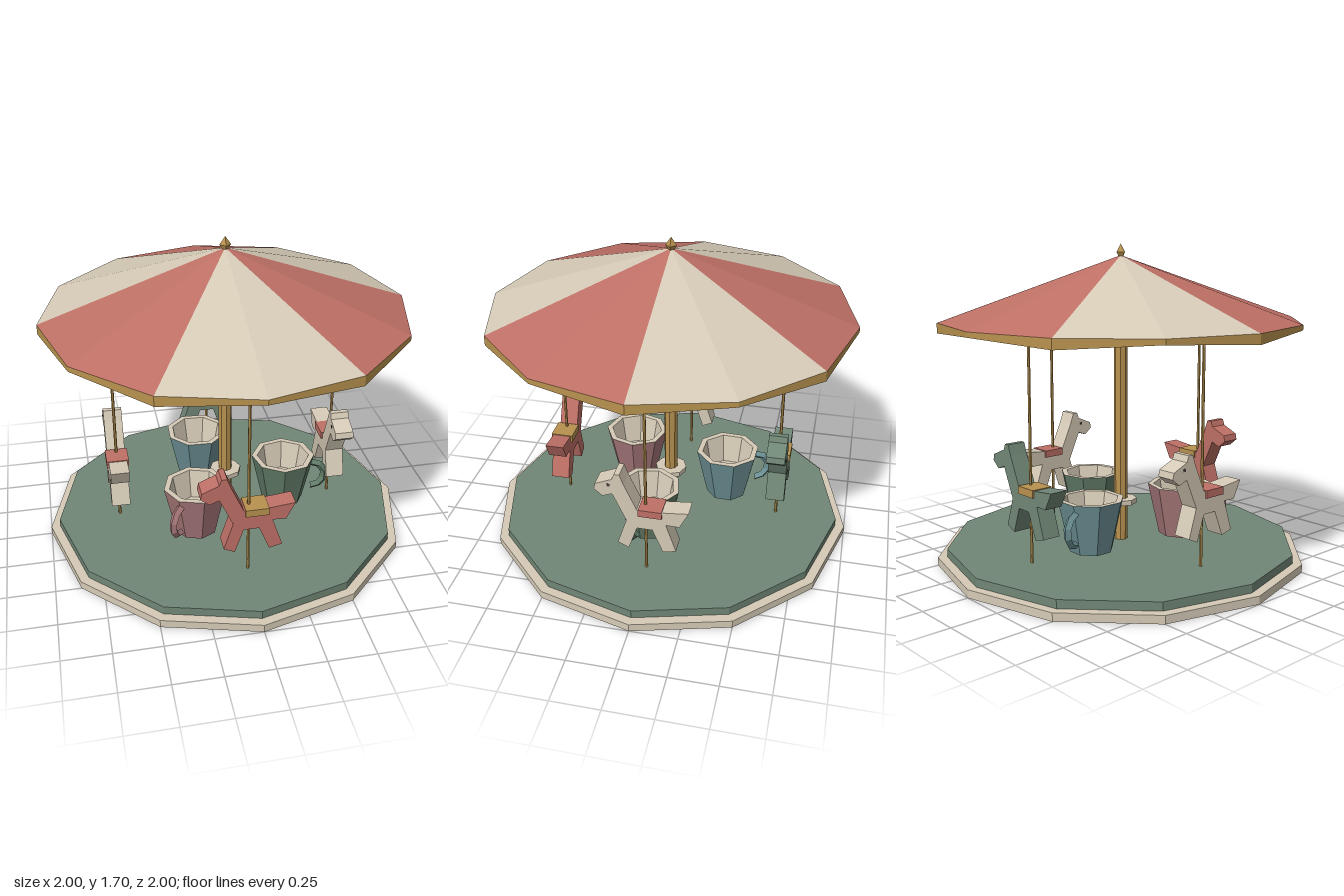
import * as THREE from 'three';

const mat = (name, color) => {
  const m = new THREE.MeshStandardMaterial({ color, flatShading: true });
  m.name = name;
  return m;
};

export function createModel() {
  const cream = mat('cream', 0xd6cbb7);
  const red = mat('red', 0xbe7066);
  const green = mat('green', 0x718776);
  const gold = mat('gold', 0xb8924f);
  const pink = mat('pink', 0xa8787a);
  const blue = mat('blue', 0x6c9094);
  const darkGreen = mat('darkGreen', 0x627c68);
  const dark = mat('dark', 0x4a4640);

  const model = new THREE.Group();
  model.name = 'carousel';

  const add = (parent, name, geometry, material, x = 0, y = 0, z = 0) => {
    const mesh = new THREE.Mesh(geometry, material);
    mesh.name = name;
    mesh.position.set(x, y, z);
    parent.add(mesh);
    return mesh;
  };
  // cylinder standing between two heights
  const post = (r, y0, y1, sides) =>
    new THREE.CylinderGeometry(r, r, y1 - y0, sides).translate(0, (y0 + y1) / 2, 0);
  // geometry from a flat list of triangle corners
  const faces = (points) =>
    new THREE.BufferGeometry().setFromPoints(points);
  const finish = (g) => { g.computeVertexNormals(); return g; };

  // platform and centre pole
  add(model, 'base', post(1, 0, 0.043, 12), cream);
  add(model, 'deck', post(0.95, 0.043, 0.088, 12), green);
  add(model, 'centrePole', post(0.037, 0.04, 1.3, 8), gold);
  add(model, 'poleCollar', post(0.088, 0.293, 0.32, 8), cream);

  // twelve-sided canopy with a zigzag lower edge
  const R = 0.965;
  const edge = (i, y) => {
    const a = (i * Math.PI) / 6;
    return new THREE.Vector3(R * Math.sin(a), y, R * Math.cos(a));
  };
  const low = (i) => edge(i, i % 2 ? 1.247 : 1.273);
  const apex = new THREE.Vector3(0, 1.64, 0);
  const hub = new THREE.Vector3(0, 1.25, 0);
  const panels = [[], []], rim = [], under = [];
  for (let i = 0; i < 12; i++) {
    const stripe = Math.floor((i + 1) / 2) % 2;
    panels[stripe].push(apex, edge(i, 1.3), edge(i + 1, 1.3));
    rim.push(edge(i, 1.3), low(i), low(i + 1), edge(i, 1.3), low(i + 1), edge(i + 1, 1.3));
    under.push(hub, low(i + 1), low(i));
  }
  add(model, 'creamCanopyPanels', finish(faces(panels[0])), cream);
  add(model, 'redCanopyPanels', finish(faces(panels[1])), red);
  add(model, 'canopyRim', finish(faces(rim)), gold);
  add(model, 'canopyUnderside', finish(faces(under)), cream);

  // finial
  const finial = [[0, 1.62], [0.014, 1.63], [0.03, 1.657], [0, 1.7]]
    .map(([x, y]) => new THREE.Vector2(x, y));
  add(model, 'finial', new THREE.LatheGeometry(finial, 4), gold);

  // horses on poles, one per quarter turn
  const outline = [
    [-0.12, 0.695], [-0.1, 0.64], [-0.035, 0.495], [0.09, 0.495], [0.232, 0.51],
    [0.185, 0.418], [0.115, 0.42], [0.168, 0.26], [0.1, 0.243], [0.045, 0.378],
    [-0.035, 0.378], [-0.08, 0.243], [-0.138, 0.27], [-0.09, 0.42], [-0.16, 0.575],
    [-0.21, 0.555], [-0.255, 0.592], [-0.248, 0.625], [-0.16, 0.663], [-0.148, 0.695],
  ].map(([x, y]) => new THREE.Vector2(x, y));
  const horseBody = new THREE.ExtrudeGeometry(new THREE.Shape(outline),
    { depth: 0.1, bevelEnabled: false }).translate(0, 0, -0.05);
  const horses = [[red, gold], [cream, red], [green, gold], [cream, red]];
  horses.forEach(([coat, seat], i) => {
    const arm = new THREE.Group();
    arm.name = 'horse' + (i + 1);
    arm.rotation.y = (i * Math.PI) / 2;
    model.add(arm);
    add(arm, 'horseBody', horseBody, coat, 0, 0, 0.61);
    add(arm, 'saddle', new THREE.BoxGeometry(0.122, 0.04, 0.12), seat, 0.034, 0.48, 0.61);
    add(arm, 'horsePole', post(0.008, 0.08, 1.27, 6), gold, 0, 0, 0.61);
    if (coat === cream) {
      for (const s of [-1, 1]) {
        add(arm, 'eye', new THREE.BoxGeometry(0.014, 0.014, 0.004), dark,
          -0.178, 0.627, 0.61 + s * 0.051);
      }
    }
  });

  // teacups, a third of a turn apart, handles outward
  const lathe = (pts) =>
    new THREE.LatheGeometry(pts.map(([x, y]) => new THREE.Vector2(x, y)), 8);
  const shell = lathe([[0, 0.12], [0.115, 0.12], [0.177, 0.398]]);
  const lining = lathe([[0.177, 0.398], [0.146, 0.398], [0.115, 0.24], [0, 0.24]]);
  const handle = new THREE.TorusGeometry(0.08, 0.022, 4, 5, Math.PI)
    .rotateZ(-Math.PI / 2).rotateY(-Math.PI / 2);
  [[pink, -40], [darkGreen, 80], [blue, 200]].forEach(([paint, degrees], i) => {
    const cup = new THREE.Group();
    cup.name = 'teacup' + (i + 1);
    const a = THREE.MathUtils.degToRad(degrees);
    cup.position.set(0.327 * Math.sin(a), 0, 0.327 * Math.cos(a));
    cup.rotation.y = a;
    model.add(cup);
    add(cup, 'cupShell', shell, paint);
    add(cup, 'cupLining', lining, cream);
    add(cup, 'cupHandle', handle, paint, 0, 0.27, 0.16);
  });

  return model;
}
